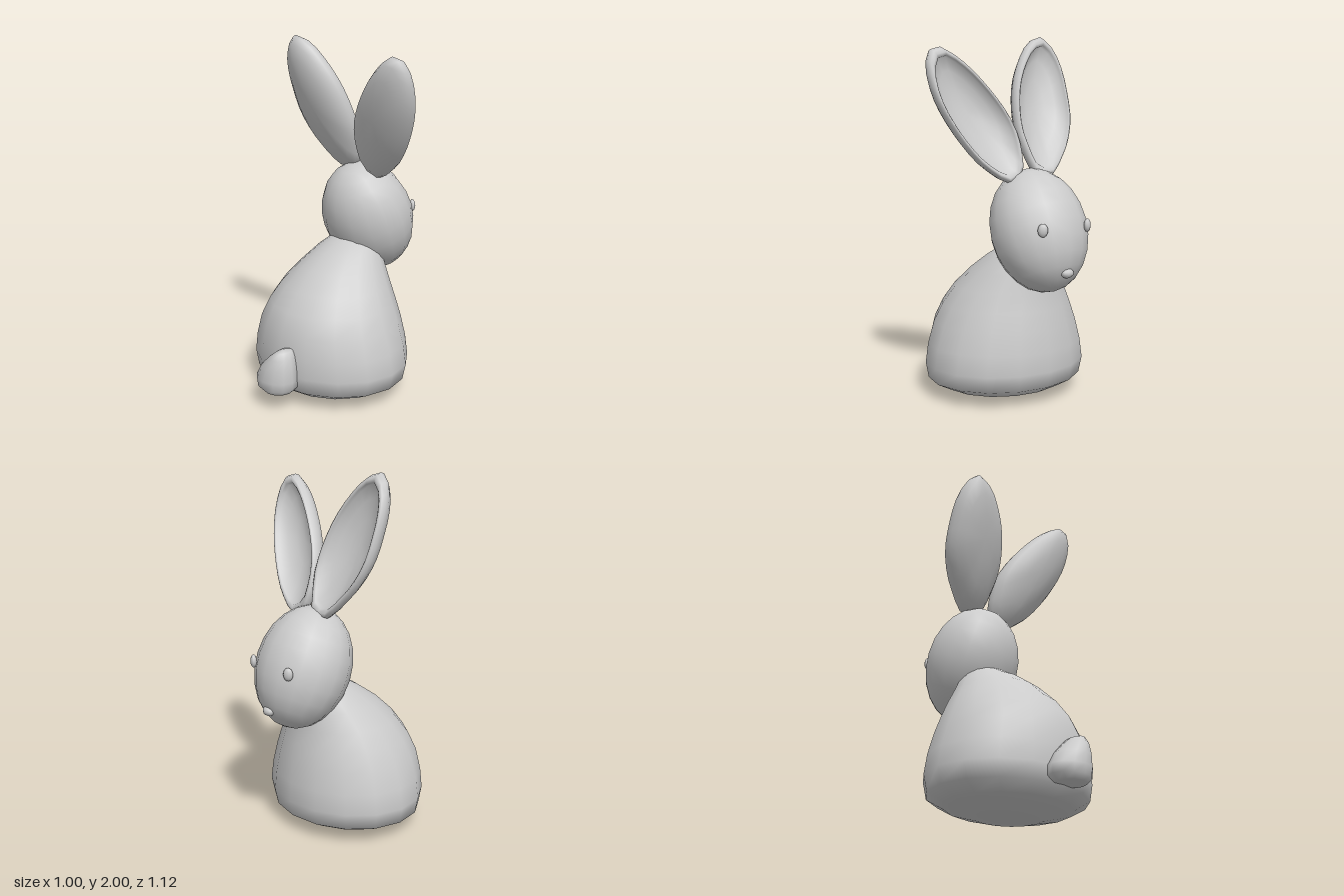
import * as THREE from 'three';
import { mergeVertices } from 'three/addons/utils/BufferGeometryUtils.js';

const material = new THREE.MeshStandardMaterial({ color: 0xcccccc, roughness: 0.8 });
const CX = -0.03; // centre line of body and head

// Skin a series of closed rings (arrays of Vector3) with smooth normals
function loft(rings) {
  const n = rings[0].length;
  const index = [];
  for (let r = 0; r < rings.length - 1; r++) {
    for (let i = 0; i < n; i++) {
      const a = r * n + i, b = r * n + (i + 1) % n;
      index.push(a, a + n, b, b, a + n, b + n);
    }
  }
  const geometry = new THREE.BufferGeometry().setFromPoints(rings.flat());
  geometry.setIndex(index);
  const merged = mergeVertices(geometry, 1e-5);
  merged.computeVertexNormals();
  return merged;
}

// Horizontal elliptical ring between x limits and z limits
function ring(y, x0, x1, z0, z1, sides) {
  return Array.from({ length: sides }, (_, i) => {
    const a = (i / sides) * Math.PI * 2;
    return new THREE.Vector3(
      (x0 + x1) / 2 + Math.cos(a) * (x1 - x0) / 2, y,
      (z0 + z1) / 2 + Math.sin(a) * (z1 - z0) / 2);
  });
}

// Cupped ear: outline in x/y, counter-clockwise, lying on a sloping plane
function earGeometry(outline, centre, base, slopeY, slopeX) {
  const curve = new THREE.CatmullRomCurve3(
    outline.map(([x, y]) => new THREE.Vector3(x, y, 0)), true, 'centripetal');
  const points = curve.getSpacedPoints(28).slice(0, 28);
  // [scale of the outline, depth behind the rim]: back, rim, then hollow
  const shells = [
    [0, 0.14], [0.35, 0.137], [0.65, 0.12], [0.88, 0.09], [0.98, 0.055], [1, 0.03],
    [0.97, 0.006], [0.92, 0], [0.87, 0.008], [0.85, 0.03], [0.65, 0.065], [0.35, 0.09], [0, 0.097],
  ];
  return loft(shells.map(([s, depth]) => points.map((p) => {
    const x = centre[0] + (p.x - centre[0]) * s;
    const y = centre[1] + (p.y - centre[1]) * s;
    return new THREE.Vector3(x, y,
      base[2] + slopeY * (y - base[1]) + slopeX * (x - base[0]) + depth);
  })));
}

export function createModel() {
  const group = new THREE.Group();
  const add = (name, geometry) => {
    const mesh = new THREE.Mesh(geometry, material);
    mesh.name = name;
    group.add(mesh);
    return mesh;
  };
  const ellipsoid = (name, x, y, z, rx, ry, rz, w = 16, h = 12) => {
    const mesh = add(name, new THREE.SphereGeometry(1, w, h));
    mesh.position.set(x, y, z);
    mesh.scale.set(rx, ry, rz);
    return mesh;
  };

  // Body: [height, half width, front z, back z]
  const body = [
    [0.005, 0, 0.02, 0.02], [0.012, 0.2, -0.16, 0.2], [0.05, 0.36, -0.29, 0.34],
    [0.1, 0.455, -0.375, 0.415], [0.19, 0.473, -0.393, 0.428], [0.3, 0.455, -0.385, 0.423],
    [0.42, 0.417, -0.368, 0.405], [0.52, 0.372, -0.348, 0.36], [0.62, 0.315, -0.328, 0.285],
    [0.72, 0.24, -0.32, 0.18], [0.8, 0.18, -0.31, 0.065], [0.86, 0.12, -0.28, -0.04],
    [0.89, 0, -0.16, -0.16],
  ];
  add('body', loft(body.map(([y, r, z0, z1]) => ring(y, CX - r, CX + r, z0, z1, 16))));

  // Tail: [height, x limits, z limits]
  const tail = [
    [0.1, -0.02, -0.02, 0.45, 0.45], [0.102, -0.1, 0.07, 0.37, 0.53],
    [0.13, -0.142, 0.1, 0.35, 0.555], [0.18, -0.148, 0.105, 0.35, 0.56],
    [0.25, -0.105, 0.1, 0.36, 0.55], [0.31, -0.045, 0.085, 0.37, 0.53],
    [0.345, 0.0, 0.065, 0.39, 0.505], [0.356, 0.03, 0.03, 0.45, 0.45],
  ];
  add('tail', loft(tail.map((t) => ring(...t, 12))));

  // Head, tipped slightly, with eyes and nose
  ellipsoid('head', CX, 0.96, -0.287, 0.27, 0.342, 0.255).rotation.x = 0.4;
  for (const side of [-1, 1]) {
    const eye = ellipsoid(side < 0 ? 'rightEye' : 'leftEye',
      CX + side * 0.152, 1.0, -0.508, 0.027, 0.036, 0.018, 10, 8);
    eye.rotation.y = -side * 0.6;
  }
  ellipsoid('nose', CX, 0.762, -0.525, 0.038, 0.027, 0.03, 10, 8);

  // Ears, each with its own lean
  add('rightEar', earGeometry([
    [-0.29, 2.0], [-0.35, 1.94], [-0.385, 1.83], [-0.39, 1.7], [-0.375, 1.55], [-0.32, 1.42],
    [-0.25, 1.33], [-0.15, 1.24], [-0.05, 1.26], [-0.01, 1.37], [0.01, 1.47], [0, 1.6],
    [-0.04, 1.74], [-0.1, 1.85], [-0.2, 1.965],
  ], [-0.2, 1.62], [-0.1, 1.24, -0.26], 0.34, 0));
  add('leftEar', earGeometry([
    [0.4, 1.935], [0.3, 1.875], [0.2, 1.78], [0.08, 1.62], [0.025, 1.5], [0.01, 1.38],
    [0.03, 1.26], [0.11, 1.215], [0.25, 1.295], [0.33, 1.38], [0.42, 1.52], [0.48, 1.66],
    [0.5, 1.78], [0.49, 1.87], [0.45, 1.93],
  ], [0.26, 1.58], [0.1, 1.22, -0.25], 0.3, 0.05));

  return group;
}
